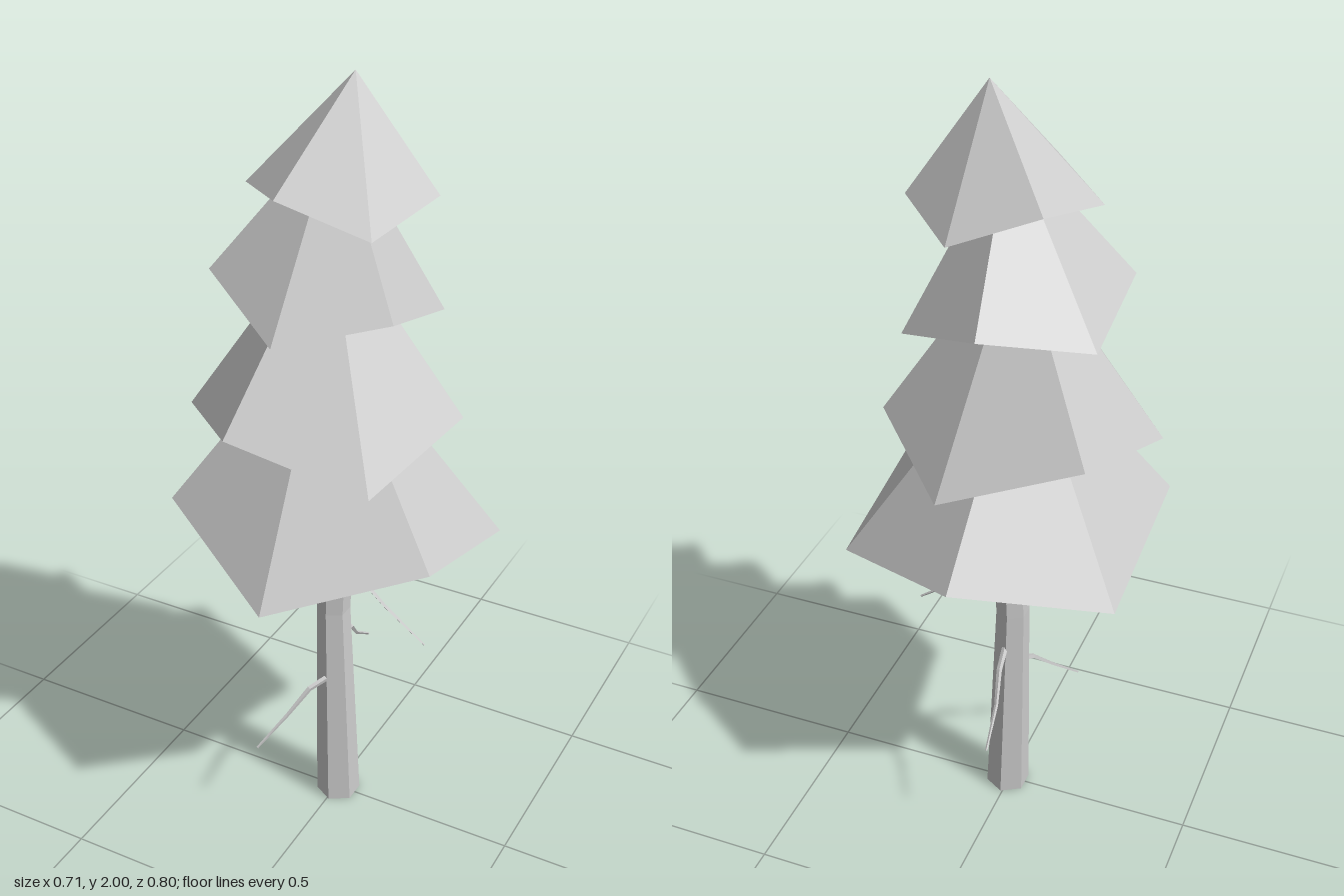
import * as THREE from 'three';

const material = new THREE.MeshStandardMaterial({ color: 0xcccccc, flatShading: true });

function addMesh(parent, name, geometry) {
  const mesh = new THREE.Mesh(geometry, material);
  mesh.name = name;
  parent.add(mesh);
}

// Closed limb: a cylinder whose rings follow points [x, y, z, radius]
function limb(path, sides) {
  const n = path.length - 1;
  const pts = path.map(([x, y, z]) => new THREE.Vector3(x, y, z));
  const up = new THREE.Vector3(0, 1, 0);
  const turns = pts.map((p, i) => {
    const dir = pts[Math.min(i + 1, n)].clone().sub(pts[Math.max(i - 1, 0)]).normalize();
    return new THREE.Quaternion().setFromUnitVectors(up, dir);
  });
  const geometry = new THREE.CylinderGeometry(1, 1, 1, sides, n);
  const pos = geometry.attributes.position;
  const v = new THREE.Vector3();
  for (let i = 0; i < pos.count; i++) {
    v.fromBufferAttribute(pos, i);
    const ring = Math.round((v.y + 0.5) * n);
    v.setY(0).multiplyScalar(path[ring][3]).applyQuaternion(turns[ring]).add(pts[ring]);
    pos.setXYZ(i, v.x, v.y, v.z);
  }
  geometry.computeVertexNormals();
  return geometry;
}

// Six-sided foliage cone with a zigzag rim and a folded underside
function foliage(apex, rim) {
  const index = [0, 3, 1, 1, 3, 2, 0, 5, 3, 5, 4, 3];
  for (let i = 0; i < 6; i++) index.push(i, (i + 1) % 6, 6);
  const geometry = new THREE.BufferGeometry();
  geometry.setAttribute('position', new THREE.Float32BufferAttribute([...rim, apex].flat(), 3));
  geometry.setIndex(index);
  const flat = geometry.toNonIndexed();
  flat.computeVertexNormals();
  return flat;
}

export function createModel() {
  const tree = new THREE.Group();
  tree.name = 'pineTree';

  // Slightly bent trunk, flared at the foot
  const trunk = limb([[0.005, 0, 0, 0.058], [-0.009, 0.6, 0, 0.043], [0.002, 0.9, 0, 0.044]], 6);
  // Keep the foot level with the ground
  const pos = trunk.attributes.position;
  for (let i = 0; i < pos.count; i++) if (pos.getY(i) < 0.1) pos.setY(i, 0);
  addMesh(tree, 'trunk', trunk);

  // Thin bare branches
  const branches = [
    [[0.01, 0.725, 0, 0.008], [0.08, 0.705, 0, 0.007], [0.14, 0.65, 0, 0.005], [0.25, 0.57, 0, 0.003]],
    [[0, 0.405, 0.03, 0.008], [-0.035, 0.385, 0.085, 0.007], [-0.07, 0.325, 0.14, 0.005], [-0.12, 0.25, 0.215, 0.003]],
    [[0, 0.5, -0.03, 0.008], [-0.01, 0.475, -0.1, 0.007], [-0.025, 0.41, -0.16, 0.005], [-0.035, 0.34, -0.255, 0.003]],
  ];
  branches.forEach((path, i) => addMesh(tree, `branch${i + 1}`, limb(path, 4)));

  // Foliage tiers from bottom to top: apex, then rim corners
  const tiers = [
    [[-0.03, 1.42, 0], [[0.01, 0.83, 0.4], [0.345, 0.93, 0.2], [0.355, 0.83, -0.2],
      [0, 0.93, -0.4], [-0.34, 0.83, -0.2], [-0.35, 0.94, 0.2]]],
    [[-0.02, 1.66, 0], [[0.205, 1.11, 0.235], [0.29, 1.19, -0.085], [0.055, 1.12, -0.325],
      [-0.27, 1.23, -0.24], [-0.355, 1.15, 0.085], [-0.12, 1.22, 0.32]]],
    [[0, 1.88, 0], [[-0.02, 1.45, 0.27], [0.21, 1.5, 0.135], [0.21, 1.43, -0.135],
      [-0.025, 1.52, -0.27], [-0.255, 1.47, -0.135], [-0.255, 1.54, 0.135]]],
    [[0.045, 2, 0], [[0.165, 1.69, 0.155], [0.225, 1.735, -0.055], [0.065, 1.7, -0.21],
      [-0.135, 1.775, -0.155], [-0.2, 1.73, 0.055], [-0.04, 1.765, 0.21]]],
  ];
  tiers.forEach(([apex, rim], i) => addMesh(tree, `foliageTier${i + 1}`, foliage(apex, rim)));

  return tree;
}
